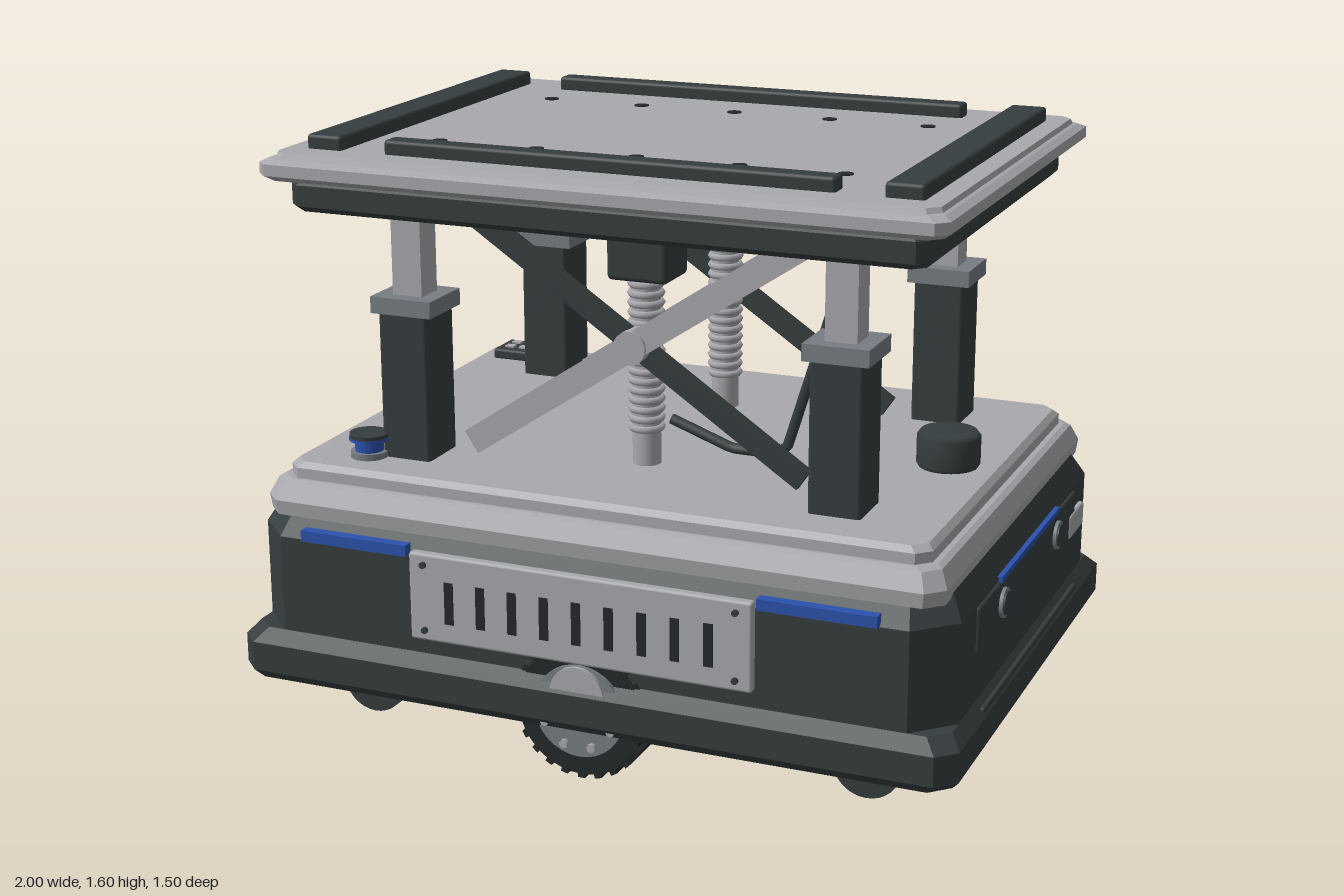
import * as THREE from 'three';
import { RoundedBoxGeometry } from 'three/addons/geometries/RoundedBoxGeometry.js';

const mat = (name, color) => {
  const m = new THREE.MeshStandardMaterial({ color });
  m.name = name;
  return m;
};

export function createModel() {
  const root = new THREE.Group();
  root.name = 'liftPlatformCart';
  const dark = mat('dark charcoal', 0x363d3e);
  const black = mat('rubber black', 0x25292a);
  const light = mat('light grey', 0xa9a8ad);
  const mid = mat('steel grey', 0x777d84);
  const blue = mat('signal blue', 0x2a52ac);

  const add = (parent, name, geo, m, x = 0, y = 0, z = 0) => {
    const mesh = new THREE.Mesh(geo, m);
    mesh.name = name;
    mesh.position.set(x, y, z);
    parent.add(mesh);
    return mesh;
  };
  const box = (p, name, m, w, h, d, x, y, z) => add(p, name, new THREE.BoxGeometry(w, h, d), m, x, y, z);
  const rbox = (p, name, m, w, h, d, x, y, z, r = 0.01) =>
    add(p, name, new RoundedBoxGeometry(w, h, d, 2, r), m, x, y, z);
  const cyl = (p, name, m, r, h, x, y, z, axis = 'y', seg = 32) => {
    const g = new THREE.CylinderGeometry(r, r, h, seg);
    if (axis === 'z') g.rotateX(Math.PI / 2);
    if (axis === 'x') g.rotateZ(-Math.PI / 2);
    return add(p, name, g, m, x, y, z);
  };
  const group = (parent, name) => {
    const g = new THREE.Group();
    g.name = name;
    parent.add(g);
    return g;
  };

  // Slab with cut corners, lofted through layers of [y, halfX, halfZ, cornerCut]
  const slab = (name, m, layers) => {
    const rings = layers.map(([y, a, b, c]) => [
      [a, b - c], [a, c - b], [a - c, -b], [c - a, -b],
      [-a, c - b], [-a, b - c], [c - a, b], [a - c, b],
    ].map(([x, z]) => [x, y, z]));
    const pos = [];
    const tri = (...pts) => pts.forEach((p) => pos.push(...p));
    for (let i = 0; i + 1 < rings.length; i++) {
      const lo = rings[i], hi = rings[i + 1];
      for (let k = 0; k < 8; k++) {
        const n = (k + 1) % 8;
        tri(lo[k], lo[n], hi[n]);
        tri(lo[k], hi[n], hi[k]);
      }
    }
    const bottom = rings[0], top = rings[rings.length - 1];
    for (let k = 1; k < 7; k++) {
      tri(top[0], top[k], top[k + 1]);
      tri(bottom[0], bottom[k + 1], bottom[k]);
    }
    const g = new THREE.BufferGeometry();
    g.setAttribute('position', new THREE.Float32BufferAttribute(pos, 3));
    g.computeVertexNormals();
    return add(root, name, g, m);
  };

  // Chassis, deck and lifting table
  slab('bumper', dark, [[0.145, 0.98, 0.73, 0.05], [0.17, 1, 0.75, 0.05], [0.25, 1, 0.75, 0.05], [0.285, 0.97, 0.715, 0.05]]);
  slab('body', dark, [[0.28, 0.97, 0.715, 0.1], [0.55, 0.97, 0.715, 0.1], [0.625, 0.93, 0.655, 0.08]]);
  slab('deckRim', light, [[0.6, 0.935, 0.685, 0.045], [0.64, 0.94, 0.69, 0.045], [0.685, 0.92, 0.665, 0.04], [0.692, 0.905, 0.65, 0.04]]);
  slab('deck', light, [[0.69, 0.89, 0.64, 0.035], [0.72, 0.89, 0.64, 0.035], [0.735, 0.875, 0.625, 0.035]]);
  slab('tableTray', dark, [[1.41, 0.845, 0.605, 0.03], [1.425, 0.86, 0.62, 0.03], [1.48, 0.86, 0.62, 0.03], [1.5, 0.84, 0.6, 0.03]]);
  slab('tableTop', light, [[1.495, 0.9, 0.655, 0.03], [1.51, 0.92, 0.675, 0.03], [1.54, 0.92, 0.675, 0.03], [1.55, 0.9, 0.655, 0.03], [1.552, 0.89, 0.64, 0.03], [1.565, 0.885, 0.635, 0.03]]);

  // Rubber rails and bolt holes on the table
  for (const s of [-1, 1]) {
    rbox(root, 'endRail', dark, 0.1, 0.045, 1.115, s * 0.78, 1.58, 0);
    rbox(root, 'sideRail', dark, 1.215, 0.045, 0.06, 0, 1.58, s * 0.525);
    for (let i = -2; i <= 2; i++) cyl(root, 'tableHole', black, 0.02, 0.006, i * 0.28, 1.565, s * 0.34, 'y', 16);
  }

  // Telescopic corner columns and casters
  for (const sx of [-1, 1]) for (const sz of [-1, 1]) {
    const x = sx * 0.6, z = sz * 0.427;
    rbox(root, 'columnSleeve', dark, 0.14, 0.42, 0.155, x, 0.935, z);
    box(root, 'columnCollar', mid, 0.175, 0.045, 0.17, x, 1.152, z);
    box(root, 'columnInner', light, 0.085, 0.3, 0.085, x, 1.28, z);
    cyl(root, 'casterWheel', dark, 0.092, 0.1, sx * 0.71, 0.092, sz * 0.48, 'z');
    cyl(root, 'casterHub', light, 0.045, 0.112, sx * 0.71, 0.092, sz * 0.48, 'z', 20);
  }

  // Scissor arms, lead screws and their motors
  for (const s of [-1, 1]) {
    const tilt = Math.atan2(0.62, 0.93);
    box(root, 'scissorArmLight', light, 1.12, 0.07, 0.026, 0, 1.075, s * 0.374).rotation.z = tilt;
    box(root, 'scissorArmDark', dark, 1.12, 0.06, 0.026, 0, 1.075, s * 0.347).rotation.z = -tilt;
    cyl(root, 'scissorPivot', light, 0.045, 0.09, 0, 1.075, s * 0.35, 'z', 24);
    cyl(root, 'leadScrew', light, 0.038, 0.54, 0, 0.99, s * 0.28, 'y', 24);
    for (let i = 0; i < 16; i++) {
      const ring = new THREE.TorusGeometry(0.04, 0.01, 6, 24).rotateX(Math.PI / 2);
      add(root, 'screwThread', ring, light, 0, 0.835 + i * 0.026, s * 0.28);
    }
    rbox(root, 'screwMotor', dark, 0.17, 0.165, 0.15, 0, 1.32, s * 0.272, 0.015);
  }

  // Cable from the table to the deck
  const cable = new THREE.CurvePath();
  const bends = [[0.58, 1.36, 0.36], [0.41, 0.84, 0.32], [0.37, 0.81, 0.3], [0.25, 0.81, 0.3], [0.08, 0.87, 0.3]]
    .map((p) => new THREE.Vector3(...p));
  for (let i = 0; i < 4; i++) cable.add(new THREE.LineCurve3(bends[i], bends[i + 1]));
  add(root, 'cable', new THREE.TubeGeometry(cable, 48, 0.014, 8), dark);

  // Front and back: vent panel, light strips and drive wheel
  for (const turn of [0, Math.PI]) {
    const g = group(root, turn ? 'backSide' : 'frontSide');
    g.rotation.y = turn;
    rbox(g, 'ventPanel', light, 0.95, 0.24, 0.03, 0, 0.45, 0.722, 0.008);
    for (let i = -4; i <= 4; i++) box(g, 'ventSlot', black, 0.025, 0.115, 0.006, i * 0.09, 0.443, 0.737);
    for (const s of [-1, 1]) {
      for (const y of [0.36, 0.54]) cyl(g, 'panelScrew', dark, 0.009, 0.012, s * 0.432, y, 0.739, 'z', 12);
      box(g, 'lightStrip', blue, 0.31, 0.03, 0.03, s * 0.64, 0.568, 0.72);
    }
    cyl(g, 'driveTyre', black, 0.175, 0.165, 0, 0.197, 0.637, 'z', 40);
    for (let i = 0; i < 24; i++) {
      const a = (i / 24) * Math.PI * 2;
      const lug = box(g, 'tyreLug', black, 0.022, 0.02, 0.16, 0.176 * Math.cos(a), 0.197 + 0.176 * Math.sin(a), 0.637);
      lug.rotation.z = a;
    }
    cyl(g, 'wheelRim', mid, 0.125, 0.02, 0, 0.2, 0.721, 'z', 32);
    cyl(g, 'wheelHub', light, 0.075, 0.045, 0, 0.25, 0.72, 'z', 24);
    for (let i = 0; i < 8; i++) {
      const a = ((i + 0.5) / 8) * Math.PI * 2;
      cyl(g, 'hubBolt', light, 0.012, 0.03, 0.1 * Math.cos(a), 0.2 + 0.1 * Math.sin(a), 0.727, 'z', 10);
    }
  }

  // Ends: raised panel, round sensors and light strip
  for (const s of [-1, 1]) {
    const g = group(root, s > 0 ? 'leftEnd' : 'rightEnd');
    g.rotation.y = s > 0 ? 0 : Math.PI;
    rbox(g, 'endPanel', dark, 0.03, 0.125, 0.965, 0.964, 0.478, 0, 0.008);
    rbox(g, 'bumperTrim', dark, 0.02, 0.025, 0.94, 0.985, 0.257, 0, 0.006);
    box(g, 'endLightStrip', blue, 0.03, 0.016, 0.58, 0.966, 0.547, 0);
    for (const z of [-0.27, 0.27]) {
      cyl(g, 'sensorRing', mid, 0.04, 0.03, 0.973, 0.48, z, 'x');
      cyl(g, 'sensorLens', dark, 0.031, 0.03, 0.977, 0.48, z, 'x');
    }
  }
  rbox(root, 'connectorPlate', light, 0.025, 0.068, 0.15, 0.972, 0.45, -0.49, 0.008);
  for (const z of [-0.12, 0.17]) box(root, 'chargePad', mid, 0.02, 0.075, 0.075, -0.972, 0.41, z);

  // Deck devices: scanner, stop button and control pad
  const puck = [[0, 0], [0.078, 0], [0.085, 0.012], [0.085, 0.085], [0.075, 0.098], [0, 0.098]].map((p) => new THREE.Vector2(...p));
  add(root, 'scanner', new THREE.LatheGeometry(puck, 32), dark, 0.745, 0.733, 0).material = dark;
  cyl(root, 'stopButtonBase', mid, 0.05, 0.02, -0.705, 0.742, 0.515);
  cyl(root, 'stopButtonNeck', blue, 0.038, 0.04, -0.705, 0.768, 0.515);
  cyl(root, 'stopButtonCap', dark, 0.052, 0.014, -0.705, 0.794, 0.515);
  cyl(root, 'stopButtonBand', blue, 0.053, 0.008, -0.705, 0.786, 0.515);
  rbox(root, 'controlPad', dark, 0.17, 0.032, 0.12, -0.745, 0.748, -0.525, 0.008);
  for (let i = -1; i <= 1; i++) for (const z of [-0.55, -0.505])
    box(root, 'padButton', light, 0.028, 0.008, 0.024, -0.745 + i * 0.045, 0.765, z);

  return root;
}
